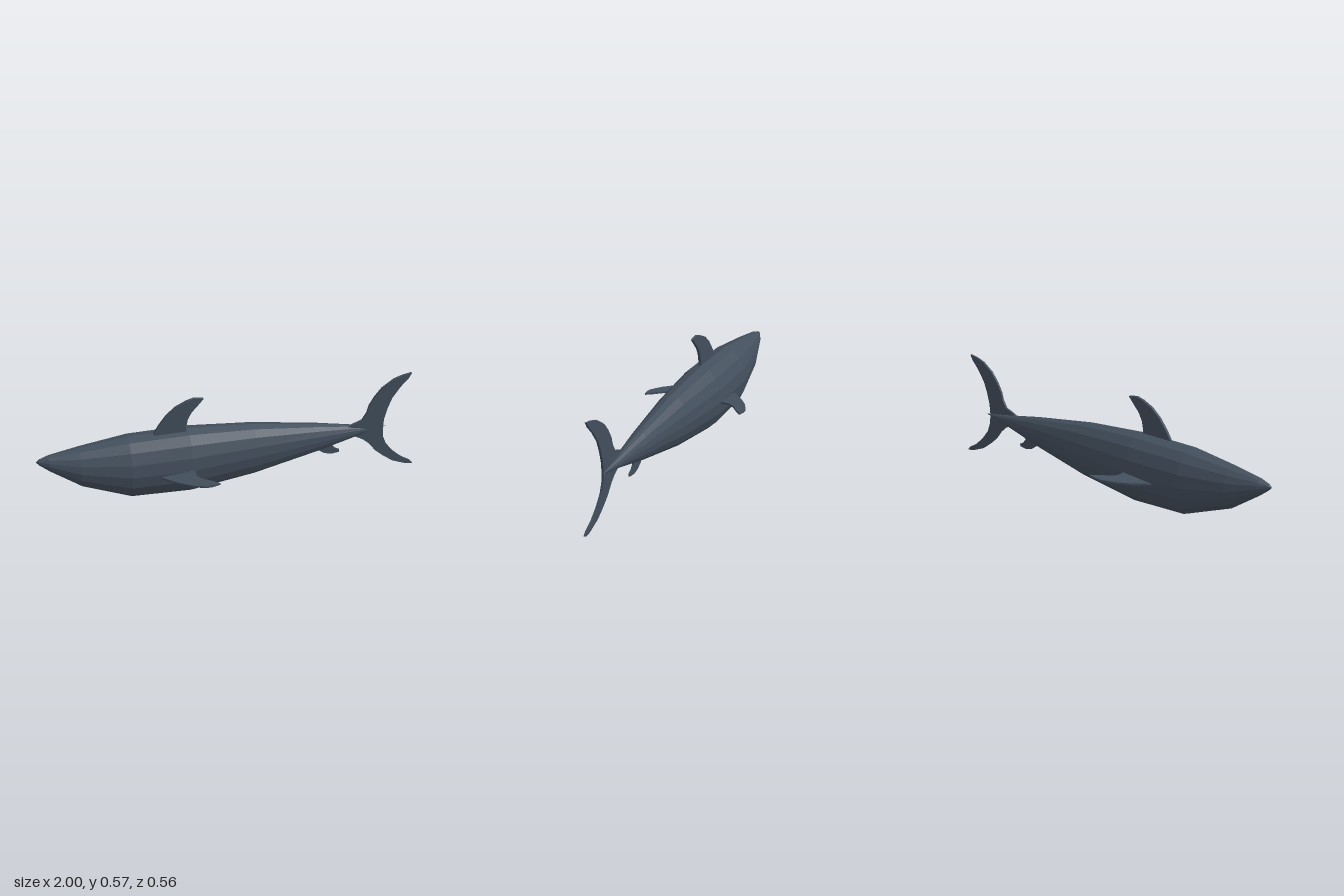
import * as THREE from 'three';

const skin = new THREE.MeshStandardMaterial({ color: 0x434f5d });
skin.name = 'slate skin';

// Faceted body lofted through elliptical rings: [x, top, bottom, halfWidth]
function makeBody() {
  const rings = [
    [-1.0, 0.29, 0.29, 0], [-0.985, 0.304, 0.272, 0.012], [-0.935, 0.32, 0.232, 0.036],
    [-0.78, 0.346, 0.124, 0.081], [-0.53, 0.381, 0.029, 0.124], [-0.22, 0.388, 0.022, 0.125],
    [0.12, 0.366, 0.074, 0.096], [0.47, 0.317, 0.158, 0.055], [0.72, 0.273, 0.228, 0.019],
    [0.84, 0.255, 0.255, 0],
  ];
  const sides = 16, pos = [], index = [];
  rings.forEach(([x, top, bottom, w]) => {
    for (let k = 0; k < sides; k++) {
      const a = (k / sides) * Math.PI * 2;
      pos.push(x, (top + bottom) / 2 + ((top - bottom) / 2) * Math.cos(a), -0.003 + w * Math.sin(a));
    }
  });
  for (let i = 0; i < rings.length - 1; i++) {
    for (let k = 0; k < sides; k++) {
      const a = i * sides + k, b = i * sides + ((k + 1) % sides);
      const c = a + sides, d = b + sides;
      if (i > 0) index.push(a, b, c);
      if (i < rings.length - 2) index.push(b, d, c);
      else if (i === 0) index.push(b, d, c);
    }
  }
  const geo = new THREE.BufferGeometry();
  geo.setAttribute('position', new THREE.Float32BufferAttribute(pos, 3));
  geo.setIndex(index);
  const flat = geo.toNonIndexed();
  flat.computeVertexNormals();
  return flat;
}

// Flat fin cut from an outline in the XY plane, centred on z = 0
function makeFin(points, depth) {
  const shape = new THREE.Shape(points.map(([x, y]) => new THREE.Vector2(x, y)));
  const geo = new THREE.ExtrudeGeometry(shape, { depth, bevelEnabled: false });
  geo.translate(0, 0, -depth / 2);
  return geo;
}

export function createModel() {
  const model = new THREE.Group();
  model.name = 'shark';
  const add = (name, geo, z = 0) => {
    const mesh = new THREE.Mesh(geo, skin);
    mesh.name = name;
    mesh.position.z = z;
    model.add(mesh);
    return mesh;
  };

  add('body', makeBody());

  // Swept fin on the back
  add('dorsalFin', makeFin([
    [-0.4, 0.365], [-0.4, 0.388], [-0.375, 0.43], [-0.333, 0.487], [-0.285, 0.53], [-0.23, 0.558],
    [-0.19, 0.57], [-0.142, 0.563], [-0.17, 0.53], [-0.205, 0.49], [-0.225, 0.45], [-0.235, 0.4],
    [-0.23, 0.365],
  ], 0.015), 0.01);

  // Crescent tail
  add('tailFin', makeFin([
    [0.62, 0.28], [0.65, 0.295], [0.70, 0.315], [0.725, 0.358], [0.735, 0.4], [0.762, 0.45],
    [0.8, 0.5], [0.86, 0.545], [0.91, 0.563], [0.955, 0.572], [0.94, 0.543], [0.9, 0.497],
    [0.858, 0.433], [0.837, 0.374], [0.822, 0.31], [0.818, 0.255], [0.822, 0.203], [0.842, 0.15],
    [0.885, 0.096], [0.933, 0.053], [0.985, 0.022], [1.0, 0.004], [0.965, 0.006], [0.933, 0.018],
    [0.885, 0.037], [0.832, 0.075], [0.783, 0.118], [0.746, 0.166], [0.714, 0.195], [0.66, 0.225],
  ], 0.012), 0.007);

  // Small fin under the tail stalk
  add('analFin', makeFin([
    [0.47, 0.17], [0.475, 0.15], [0.507, 0.128], [0.545, 0.118], [0.588, 0.124], [0.59, 0.138],
    [0.567, 0.15], [0.55, 0.172], [0.56, 0.2],
  ], 0.008), -0.008);

  // Side fins, laid flat and tilted upward toward the rear
  for (const side of [1, -1]) {
    const geo = makeFin([
      [-0.4, 0.1], [-0.38, 0.13], [-0.31, 0.2], [-0.25, 0.245], [-0.185, 0.278], [-0.15, 0.281],
      [-0.112, 0.275], [-0.147, 0.24], [-0.195, 0.2], [-0.212, 0.17], [-0.21, 0.1],
    ], 0.01);
    geo.rotateX(side * Math.PI / 2);
    const p = geo.attributes.position;
    for (let i = 0; i < p.count; i++) p.setY(i, p.getY(i) + 0.187 + (p.getX(i) + 0.38) * 0.1);
    geo.computeVertexNormals();
    add(side > 0 ? 'rightPectoralFin' : 'leftPectoralFin', geo, -0.002);
  }

  return model;
}
